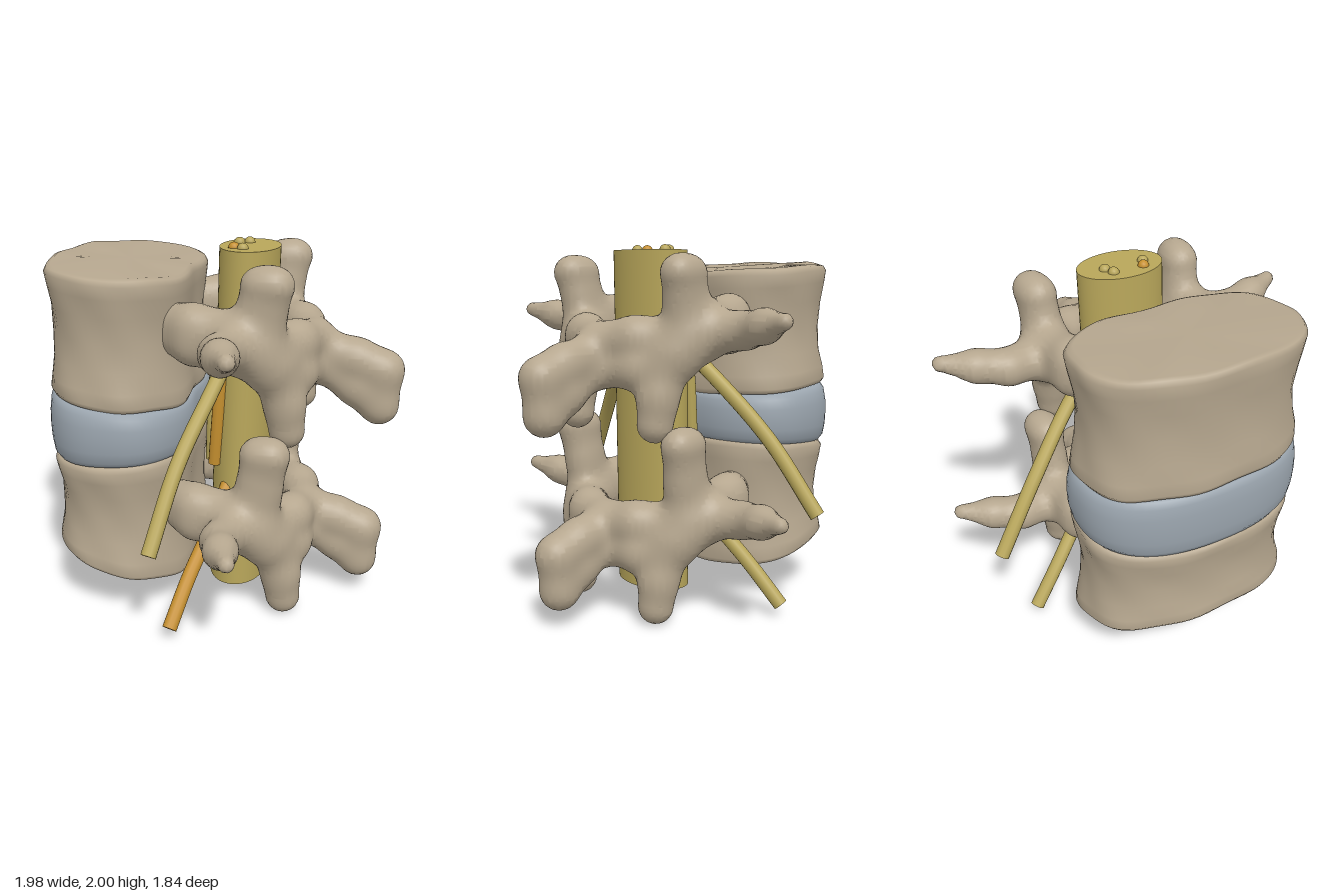
import * as THREE from 'three';
import { mergeVertices } from 'three/addons/utils/BufferGeometryUtils.js';

const mat = (name, color) => {
  const m = new THREE.MeshStandardMaterial({ color });
  m.name = name;
  return m;
};

const add = (parent, name, geometry, material) => {
  const m = new THREE.Mesh(geometry, material);
  m.name = name;
  parent.add(m);
  return m;
};

// Kidney-shaped drum. profile: [height 0..1, radius 0..1]; each end slopes from back to front.
function drum(profile, [botBack, botFront], [topBack, topFront], ripple) {
  let g = new THREE.LatheGeometry(profile.map(([t, r]) => new THREE.Vector2(r, t)), 72);
  g.deleteAttribute('uv');
  g.deleteAttribute('normal');
  const p = g.attributes.position;
  for (let i = 0; i < p.count; i++) {
    const x = p.getX(i), t = p.getY(i), z = p.getZ(i), r = Math.hypot(x, z);
    const a = Math.atan2(x, z), s = Math.sin(a), c = Math.cos(a);
    const k = r / (Math.abs(s) ** 2.4 + Math.abs(c) ** 2.4) ** (1 / 2.4)
      * (1 + ripple * (Math.sin(9 * a + 11 * t) + Math.sin(7 * a - 13 * t)));
    const px = 0.605 * s * k;
    let pz = 0.405 * c * k;
    if (c > 0) pz -= 0.04 * r * c * Math.exp(-((px / 0.22) ** 2)); // hollow behind, toward the canal
    const f = (0.37 - pz) / 0.71;
    const lo = botBack + (botFront - botBack) * f, hi = topBack + (topFront - topBack) * f;
    p.setXYZ(i, px, lo + (hi - lo) * t + ripple * Math.sin(14 * px + 9 * pz), pz - 0.52);
  }
  g = mergeVertices(g, 1e-4);
  g.computeVertexNormals();
  return g;
}

// Smoothly blended tapered limbs, mirrored in x; limb = [[x, y, z, radius], ...]
function blendField(limbs) {
  const segs = [];
  for (const l of limbs) for (let i = 0; i + 1 < l.length; i++) {
    const [a, b] = [l[i], l[i + 1]], d = [b[0] - a[0], b[1] - a[1], b[2] - a[2]];
    segs.push({ a, d, dr: b[3] - a[3], len2: d[0] ** 2 + d[1] ** 2 + d[2] ** 2 });
  }
  const k = 0.03;
  return (px, y, z) => {
    const x = Math.abs(px);
    let sum = 1e-30;
    for (const { a, d, dr, len2 } of segs) {
      const qx = x - a[0], qy = y - a[1], qz = z - a[2];
      const t = Math.min(1, Math.max(0, (qx * d[0] + qy * d[1] + qz * d[2]) / len2));
      const dist = Math.hypot(qx - t * d[0], qy - t * d[1], qz - t * d[2]) - a[3] - t * dr;
      sum += Math.exp(-dist / k);
    }
    return -k * Math.log(sum) + 0.01;
  };
}

// Skin of a field: one vertex per crossed cell, one quad per crossed edge
function skin(field, min, max, h) {
  const n = min.map((v, i) => Math.ceil((max[i] - v) / h) + 1);
  const step = [1, n[0], n[0] * n[1]];
  const val = new Float32Array(n[0] * n[1] * n[2]);
  for (let c = 0, k = 0; k < n[2]; k++) for (let j = 0; j < n[1]; j++) for (let i = 0; i < n[0]; i++)
    val[c++] = field(min[0] + i * h, min[1] + j * h, min[2] + k * h);
  const pos = [], index = [], ids = new Map(), e = 0.002;
  const vertex = (cell) => {
    if (ids.has(cell)) return ids.get(cell);
    const k = Math.floor(cell / step[2]), j = Math.floor((cell % step[2]) / n[0]), i = cell % n[0];
    const p = [i, j, k].map((v, a) => min[a] + (v + 0.5) * h);
    for (let it = 0; it < 5; it++) { // settle onto the surface
      const f = field(...p);
      const g = [0, 1, 2].map((a) => {
        const q = [...p];
        q[a] += e;
        return (field(...q) - f) / e;
      });
      const l = Math.max(0.3, g[0] ** 2 + g[1] ** 2 + g[2] ** 2);
      for (let a = 0; a < 3; a++) p[a] -= Math.max(-h, Math.min(h, (f * g[a]) / l));
    }
    ids.set(cell, pos.length / 3);
    pos.push(...p);
    return ids.get(cell);
  };
  for (let k = 1; k < n[2] - 1; k++) for (let j = 1; j < n[1] - 1; j++) for (let i = 1; i < n[0] - 1; i++) {
    const c = i + j * step[1] + k * step[2];
    for (let d = 0; d < 3; d++) {
      const inside = val[c] < 0;
      if (inside === val[c + step[d]] < 0) continue;
      const u = step[(d + 1) % 3], w = step[(d + 2) % 3];
      const q = [c - u - w, c - w, c, c - u].map(vertex);
      if (!inside) q.reverse();
      index.push(q[0], q[1], q[2], q[0], q[2], q[3]);
    }
  }
  const g = new THREE.BufferGeometry();
  g.setAttribute('position', new THREE.Float32BufferAttribute(pos, 3));
  g.setIndex(index);
  g.computeVertexNormals();
  return g;
}

// Rear arch with its processes. up raises the upper joints; pull and lift move the rear spine.
function arch(y, up, pull, lift) {
  const sp = (h, z, r) => [0, h + lift, z - pull, r];
  const limbs = [
    // pedicles, rooted inside the body
    [[0.27, 1.55, -0.3, 0.09], [0.4, 1.53, -0.08, 0.1], [0.43, 1.52, 0.14, 0.11]],
    [[0.27, 1.64, -0.3, 0.09], [0.4, 1.63, -0.08, 0.1], [0.43, 1.61, 0.14, 0.11]],
    // transverse processes
    [[0.48, 1.55, 0.15, 0.13], [0.68, 1.565, 0.1, 0.09], [0.84, 1.595, 0.14, 0.08], [1.01, 1.625, 0.2, 0.05]],
    // upper joint processes
    [[0.43, 1.58, 0.2, 0.1], [0.425, 1.73 + up / 2, 0.23, 0.072], [0.43, 1.845 + up, 0.25, 0.098]],
    [[0.41, 1.5, 0.27, 0.11], [0.42, 1.7 + up / 2, 0.3, 0.076], [0.44, 1.85 + up, 0.335, 0.098]],
    // laminae
    [[0.42, 1.52, 0.24, 0.12], [0.2, 1.52, 0.41, 0.105], [0, 1.5, 0.49 - pull / 2, 0.105]],
    [[0.39, 1.42, 0.29, 0.115], [0.22, 1.36, 0.42, 0.1], [0, 1.34, 0.49 - pull / 2, 0.095]],
    // lower joint processes
    [[0.37, 1.42, 0.32, 0.11], [0.335, 1.22, 0.375, 0.1], [0.325, 1.075, 0.39, 0.103]],
    // rear spine
    [sp(1.45, 0.52, 0.1), sp(1.39, 0.72, 0.1), sp(1.33, 0.865, 0.1), sp(1.13, 0.85, 0.1)],
    [sp(1.35, 0.52, 0.09), sp(1.23, 0.72, 0.095), sp(1.14, 0.85, 0.09)],
  ].map((l) => l.map(([a, b, c, r]) => [a, b + y, c, r]));
  return skin(blendField(limbs), [-1.15, 0.88 + y, -0.45], [1.15, 2.12 + y, 1.08], 0.026);
}

export function createModel() {
  const bone = mat('bone', 0xb6a78f), discMat = mat('disc', 0x9aa4ad);
  const nerve = mat('nerve', 0xb8a65a), amber = mat('amberNerve', 0xc6902f);
  const model = new THREE.Group();
  model.name = 'spineSegment';
  const spine = new THREE.Group();
  spine.name = 'turnedSpine';
  spine.position.set(-0.053, 0, 0.027);
  spine.rotation.y = 0.472;
  model.add(spine);

  // Vertebral bodies and the disc between them
  const waist = [[0, 0], [0, 0.5], [0, 0.92], [0.012, 0.97], [0.05, 1], [0.15, 0.985], [0.3, 0.95], [0.5, 0.93],
    [0.7, 0.95], [0.85, 0.985], [0.95, 1], [0.988, 0.97], [1, 0.92], [1, 0.5], [1, 0]];
  const bulge = [[0, 0], [0, 0.9], [0.03, 0.97], [0.12, 1.01], [0.3, 1.03], [0.5, 1.035], [0.7, 1.03],
    [0.88, 1.01], [0.97, 0.97], [1, 0.9], [1, 0]];
  add(spine, 'upperBody', drum(waist, [1.17, 1.23], [1.86, 1.91], 0.005), bone);
  add(spine, 'lowerBody', drum(waist, [0.18, 0.35], [0.92, 0.88], 0.005), bone);
  add(spine, 'disc', drum(bulge, [0.91, 0.87], [1.18, 1.24], 0), discMat);

  // Rear arches
  add(spine, 'upperArch', arch(0, 0, 0, 0), bone);
  add(spine, 'lowerArch', arch(-0.98, 0.1, 0.07, 0.045), bone);

  // Cord, an oval column leaning slightly with level ends
  const column = new THREE.CylinderGeometry(1, 1, 1.88, 48).scale(0.239, 1, 0.161);
  column.applyMatrix4(new THREE.Matrix4().set(1, 0.02, 0, 0, 0, 1, 0, 0, 0, 0.026, 1, 0, 0, 0, 0, 1));
  add(spine, 'cord', column, nerve).position.set(-0.005, 1.03, 0.112);

  // Nerve roots, mirrored on both sides
  const tube = (name, pts, r, m) => {
    const curve = new THREE.CatmullRomCurve3(pts.map((p) => new THREE.Vector3(...p)));
    add(spine, name, new THREE.TubeGeometry(curve, 32, r, 12), m);
    [0, 1].forEach((t) => { // closed ends
      const cap = add(spine, name + 'End', new THREE.CircleGeometry(r, 12), m);
      const p = curve.getPointAt(t), d = curve.getTangentAt(t).multiplyScalar(t ? 1 : -1);
      cap.position.copy(p);
      cap.quaternion.setFromUnitVectors(new THREE.Vector3(0, 0, 1), d);
    });
  };
  for (const s of [-1, 1]) {
    const side = s > 0 ? 'left' : 'right', accent = s > 0 ? nerve : amber;
    tube(side + 'UpperNerve', [[s * 0.14, 1.52, 0.1], [s * 0.38, 1.31, 0.02], [s * 0.67, 0.98, -0.11], [s * 0.93, 0.6, -0.2]], 0.04, nerve);
    tube(side + 'LowerNerve', [[s * 0.14, 0.76, 0.08], [s * 0.36, 0.51, 0.0], [s * 0.56, 0.28, -0.09], [s * 0.735, 0.07, -0.155]], 0.04, accent);
    tube(side + 'InnerStrand', [[s * 0.17, 1.6, 0.07], [s * 0.195, 1.35, 0.025], [s * 0.195, 1.05, 0.0], [s * 0.185, 0.8, -0.02]], 0.036, accent);
    tube(side + 'FrontStrand', [[s * 0.1, 1.6, 0.02], [s * 0.12, 1.35, -0.02], [s * 0.13, 1.05, -0.04], [s * 0.12, 0.8, -0.05]], 0.034, nerve);
    // Root ends showing on top of the cord
    [[0.087, 0.065, accent], [0.112, 0.116, nerve]].forEach(([x, z, m]) => {
      add(spine, side + 'RootEnd', new THREE.SphereGeometry(0.03, 16, 10), m).position.set(s * x, 1.97, z);
    });
  }
  return model;
}
